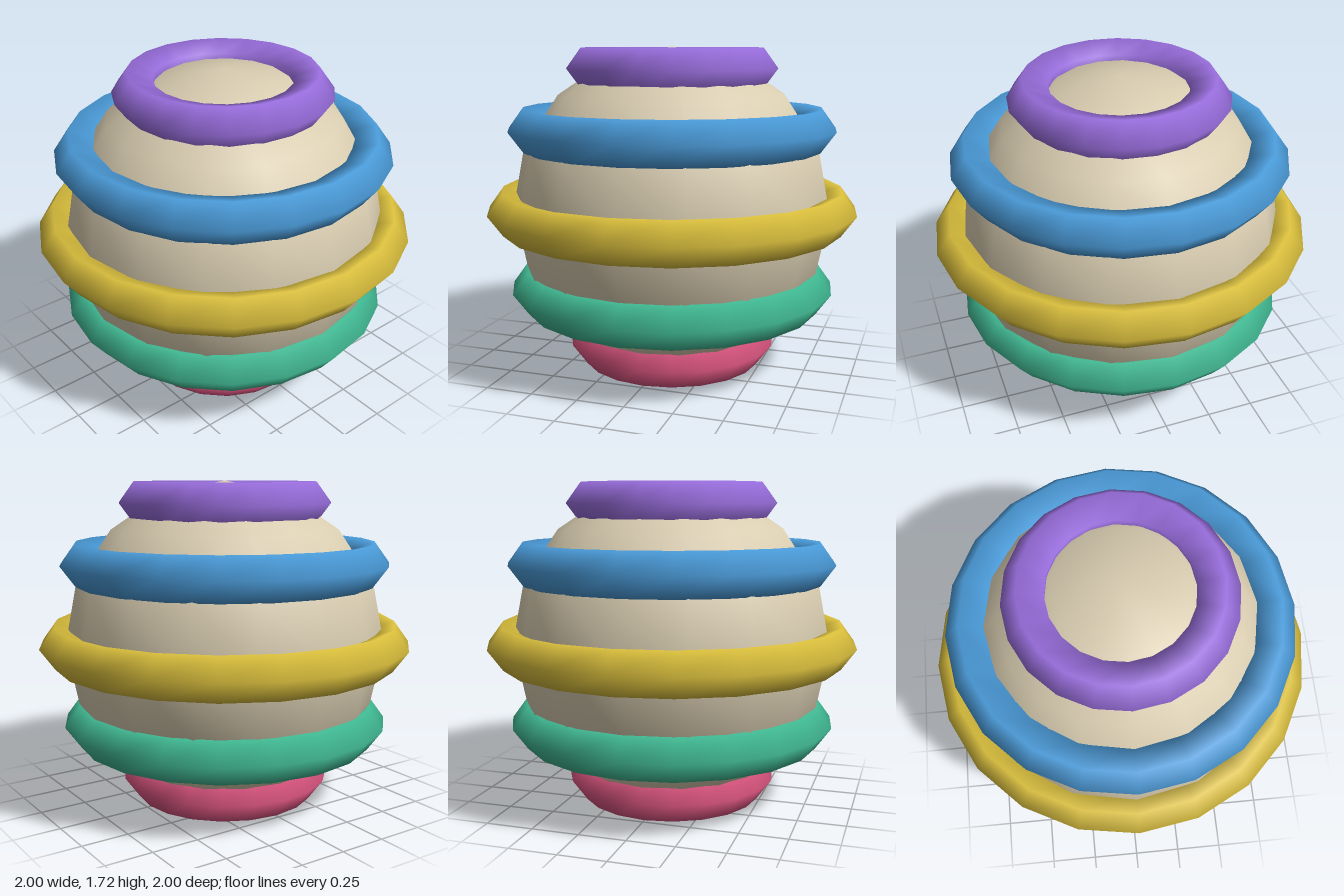
import * as THREE from 'three';

const mat = (name, color) => {
  const m = new THREE.MeshStandardMaterial({ color });
  m.name = name;
  return m;
};

export function createModel() {
  const group = new THREE.Group();
  group.name = 'ringedBall';
  const midY = 0.86;

  // Low-poly ball with smooth shading
  const ball = new THREE.Mesh(new THREE.SphereGeometry(0.86, 16, 8), mat('cream', 0xd8ccb0));
  ball.name = 'ball';
  ball.position.y = midY;
  group.add(ball);

  // Five horizontal rings with a five-sided section: name, colour, height from middle, radius
  const rings = [
    ['bottomRing', 'pink', 0xd9547f, -0.745, 0.45],
    ['lowerRing', 'green', 0x40b892, -0.43, 0.765],
    ['middleRing', 'yellow', 0xd9be3c, 0, 0.884],
    ['upperRing', 'blue', 0x4a9bd9, 0.43, 0.765],
    ['topRing', 'purple', 0x986ddc, 0.745, 0.45],
  ];
  for (const [name, colorName, color, y, radius] of rings) {
    const geometry = new THREE.TorusGeometry(radius, 0.116, 5, 20).rotateX(Math.PI / 2);
    const ring = new THREE.Mesh(geometry, mat(colorName, color));
    ring.name = name;
    ring.position.y = midY + y;
    group.add(ring);
  }
  return group;
}
